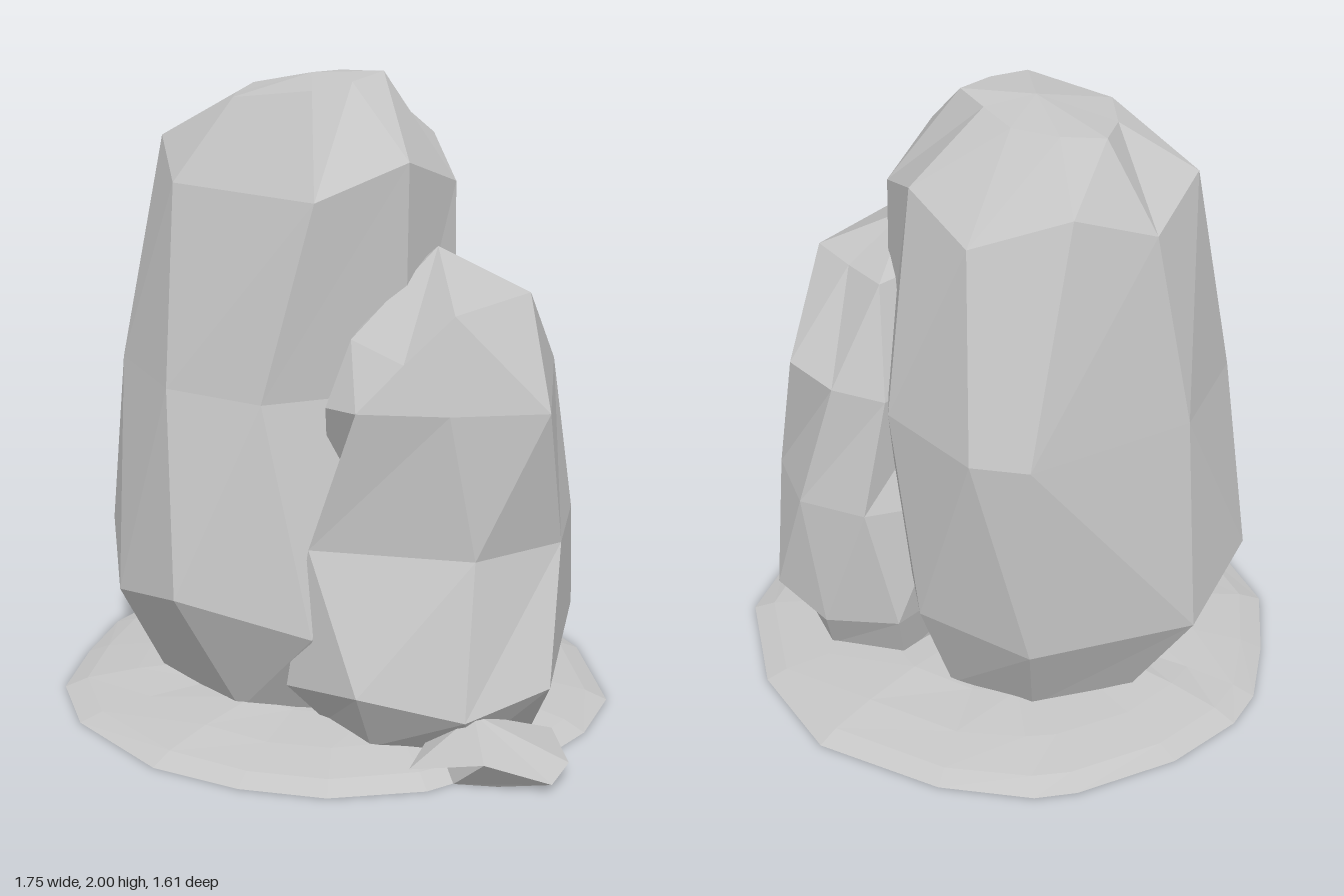
import * as THREE from 'three';

// Faceted stone lofted through rings, listed from the bottom up.
// A ring is { y, points }, each point [x, z, optional height offset],
// running from +x towards +z; apexes close the two ends.
function stoneGeometry(rings, bottom, top) {
  const loops = rings.map(({ y, points }) => points.map(([x, z, dy = 0]) => [x, y + dy, z]));
  const pos = [];
  const tri = (...corners) => corners.forEach((p) => pos.push(...p));
  const sides = loops[0].length;
  const last = loops.length - 1;
  for (let j = 0; j < sides; j++) {
    const k = (j + 1) % sides;
    tri(bottom, loops[0][j], loops[0][k]);
    for (let i = 0; i < last; i++) {
      tri(loops[i][j], loops[i + 1][j], loops[i][k]);
      tri(loops[i][k], loops[i + 1][j], loops[i + 1][k]);
    }
    tri(loops[last][j], top, loops[last][k]);
  }
  const geometry = new THREE.BufferGeometry();
  geometry.setAttribute('position', new THREE.Float32BufferAttribute(pos, 3));
  geometry.computeVertexNormals(); // unshared corners give flat faces
  return geometry;
}

export function createModel() {
  const group = new THREE.Group();
  group.name = 'standingStones';
  const stone = new THREE.MeshStandardMaterial({ color: 0xc5c5c5 });
  stone.name = 'grey stone';

  const add = (name, rings, bottom, top) => {
    const mesh = new THREE.Mesh(stoneGeometry(rings, bottom, top), stone);
    mesh.name = name;
    group.add(mesh);
  };

  // Tall main boulder
  add('tallBoulder', [
    { y: 0.04, points: [
      [0.25, 0], [0.2, 0.25], [0, 0.36], [-0.25, 0.38], [-0.56, 0.15],
      [-0.6, -0.05], [-0.45, -0.3], [-0.15, -0.43], [0.12, -0.35]] },
    { y: 0.42, points: [
      [0.34, 0], [0.25, 0.3], [0.02, 0.55, -0.04], [-0.4, 0.57, 0.06], [-0.66, 0.3, -0.04],
      [-0.79, -0.05, 0.06], [-0.65, -0.38, -0.04], [-0.16, -0.61, -0.04], [0.2, -0.48]] },
    { y: 1.08, points: [
      [0.36, 0], [0.24, 0.23], [-0.15, 0.46], [-0.47, 0.36], [-0.7, 0.06],
      [-0.6, -0.3], [-0.16, -0.63], [0.02, -0.62], [0.3, -0.37]] },
    { y: 1.68, points: [
      [0.35, 0], [0.25, 0.25, 0.1], [0, 0.4], [-0.48, 0.2], [-0.58, -0.03, 0.1],
      [-0.48, -0.27], [-0.25, -0.4, 0.1], [0.05, -0.42], [0.24, -0.25, 0.1]] },
    { y: 1.95, points: [
      [0.12, -0.03, 0.05], [0.05, 0.1, 0.035], [-0.05, 0.2, 0.02], [-0.31, 0.12, -0.02],
      [-0.34, -0.03, -0.03], [-0.32, -0.17, -0.02], [-0.19, -0.22], [-0.05, -0.22, 0.02],
      [0.04, -0.12, 0.035]] },
  ], [-0.2, 0.01, 0], [-0.1, 1.99, -0.02]);

  // Shorter boulder leaning against it
  add('shortBoulder', [
    { y: 0.04, points: [
      [0.67, 0], [0.66, 0.3], [0.5, 0.5], [0.2, 0.54],
      [0.03, 0.4], [0.1, 0], [0.3, -0.24], [0.55, -0.2]] },
    { y: 0.24, points: [
      [0.73, -0.17, 0.02], [0.73, 0.48, 0.02], [0.5, 0.64, -0.04], [0.18, 0.67, 0.02],
      [-0.07, 0.5, -0.04], [0, 0.1], [0.3, -0.32], [0.55, -0.28, -0.04]] },
    { y: 0.65, points: [
      [0.73, -0.03], [0.73, 0.28], [0.5, 0.49], [0, 0.5],
      [0, 0.2], [0.15, -0.2], [0.4, -0.31], [0.62, -0.25]] },
    { y: 1.1, points: [
      [0.65, -0.14], [0.7, 0.42], [0.42, 0.51], [0.15, 0.54],
      [0.04, 0.44, -0.02], [0.1, 0], [0.33, -0.26, -0.05], [0.5, -0.24, -0.03]] },
    { y: 1.38, points: [
      [0.6, 0.13], [0.42, 0.44], [0.28, 0.49, -0.14], [0.1, 0.36, -0.11],
      [0.18, 0.14], [0.25, -0.02, 0.02], [0.36, -0.13, 0.01], [0.48, 0]] },
  ], [0.35, 0.01, 0.15], [0.32, 1.51, 0.14]);

  // Pebble at the front
  add('pebble', [
    { y: 0, points: [
      [0.68, 0.44], [0.72, 0.58], [0.6, 0.63], [0.47, 0.64], [0.4, 0.54], [0.5, 0.42]] },
    { y: 0.08, points: [
      [0.73, 0.38], [0.8, 0.55, -0.02], [0.76, 0.64, -0.05], [0.57, 0.73, 0.04],
      [0.34, 0.67, -0.03], [0.4, 0.42, 0.03]] },
  ], [0.55, 0, 0.56], [0.52, 0.215, 0.6]);

  // Low ground slab: one outline, drawn in towards the top
  const outline = [
    [0.87, 0], [0.82, 0.24], [0.73, 0.4], [0.4, 0.7], [0.12, 0.8], [-0.15, 0.8],
    [-0.43, 0.73], [-0.74, 0.5], [-0.87, 0.27], [-0.88, 0], [-0.86, -0.25], [-0.8, -0.39],
    [-0.62, -0.59], [-0.33, -0.77], [-0.2, -0.81], [0.1, -0.8], [0.5, -0.66], [0.74, -0.37],
  ];
  const slabRing = (y, scale) => ({
    y, points: outline.map(([x, z], i) => [x * scale, z * scale, y * 0.12 * Math.sin(i * 2.4)]),
  });
  add('groundSlab',
    [slabRing(0, 1), slabRing(0.028, 0.92), slabRing(0.053, 0.74), slabRing(0.07, 0.5)],
    [0, 0, 0], [0, 0.07, 0]);

  return group;
}
